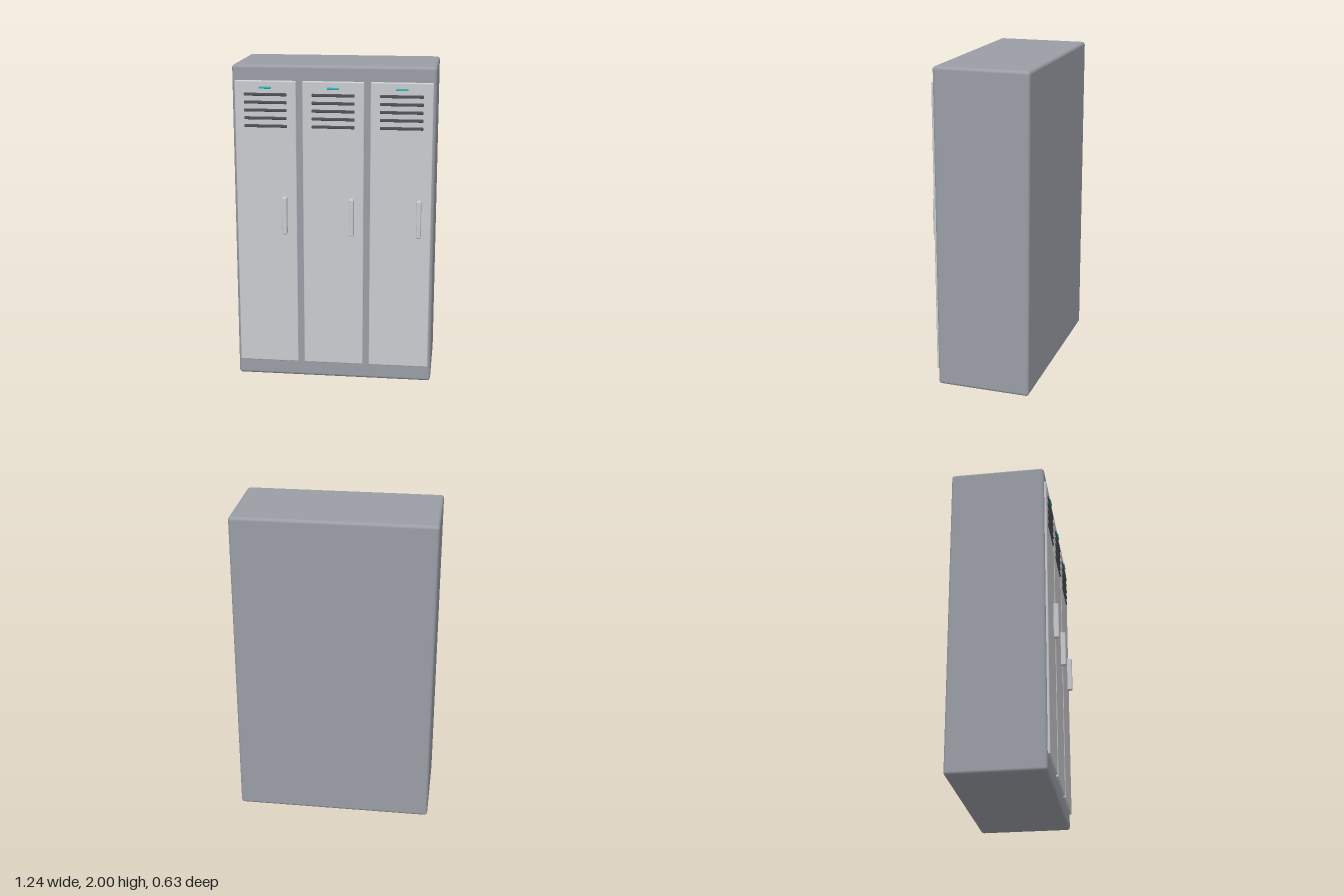
import * as THREE from 'three';
import { RoundedBoxGeometry } from 'three/addons/geometries/RoundedBoxGeometry.js';

const material = (color) => new THREE.MeshStandardMaterial({ color });

export function createModel() {
  const locker = new THREE.Group();
  locker.name = 'lockerCabinet';

  const bodyPaint = material(0x9a9da5);
  const doorPaint = material(0xcacbcf);
  const ventDark = material(0x505258);
  const labelTeal = material(0x2fb5bd);

  // Rounded box spanning the given ranges on each axis
  function box(parent, name, [x0, x1], [y0, y1], [z0, z1], radius, mat, segments = 3) {
    const geometry = new RoundedBoxGeometry(x1 - x0, y1 - y0, z1 - z0, segments, radius);
    const mesh = new THREE.Mesh(geometry, mat);
    mesh.name = name;
    mesh.position.set((x0 + x1) / 2, (y0 + y1) / 2, (z0 + z1) / 2);
    parent.add(mesh);
  }

  // Cabinet shell
  box(locker, 'cabinetBody', [-0.618, 0.618], [0, 2], [-0.317, 0.271], 0.02, bodyPaint, 4);

  // Three identical doors, each with a label, vents and a handle
  ['rightDoor', 'middleDoor', 'leftDoor'].forEach((name, i) => {
    const door = new THREE.Group();
    door.name = name;
    door.position.x = (i - 1) * 0.413;
    locker.add(door);

    box(door, 'doorPanel', [-0.188, 0.188], [0.1, 1.907], [0.258, 0.285], 0.008, doorPaint);
    box(door, 'label', [-0.037, 0.037], [1.859, 1.871], [0.281, 0.295], 0.003, labelTeal, 2);

    // Vent slats
    for (let v = 0; v < 5; v++) {
      const y = 1.632 + v * 0.048;
      box(door, 'ventSlat', [-0.13, 0.13], [y - 0.009, y + 0.009], [0.277, 0.293], 0.004, ventDark, 2);
    }

    // Vertical pull handle
    box(door, 'handle', [0.1, 0.128], [0.956, 1.192], [0.279, 0.317], 0.008, doorPaint);
  });

  return locker;
}
